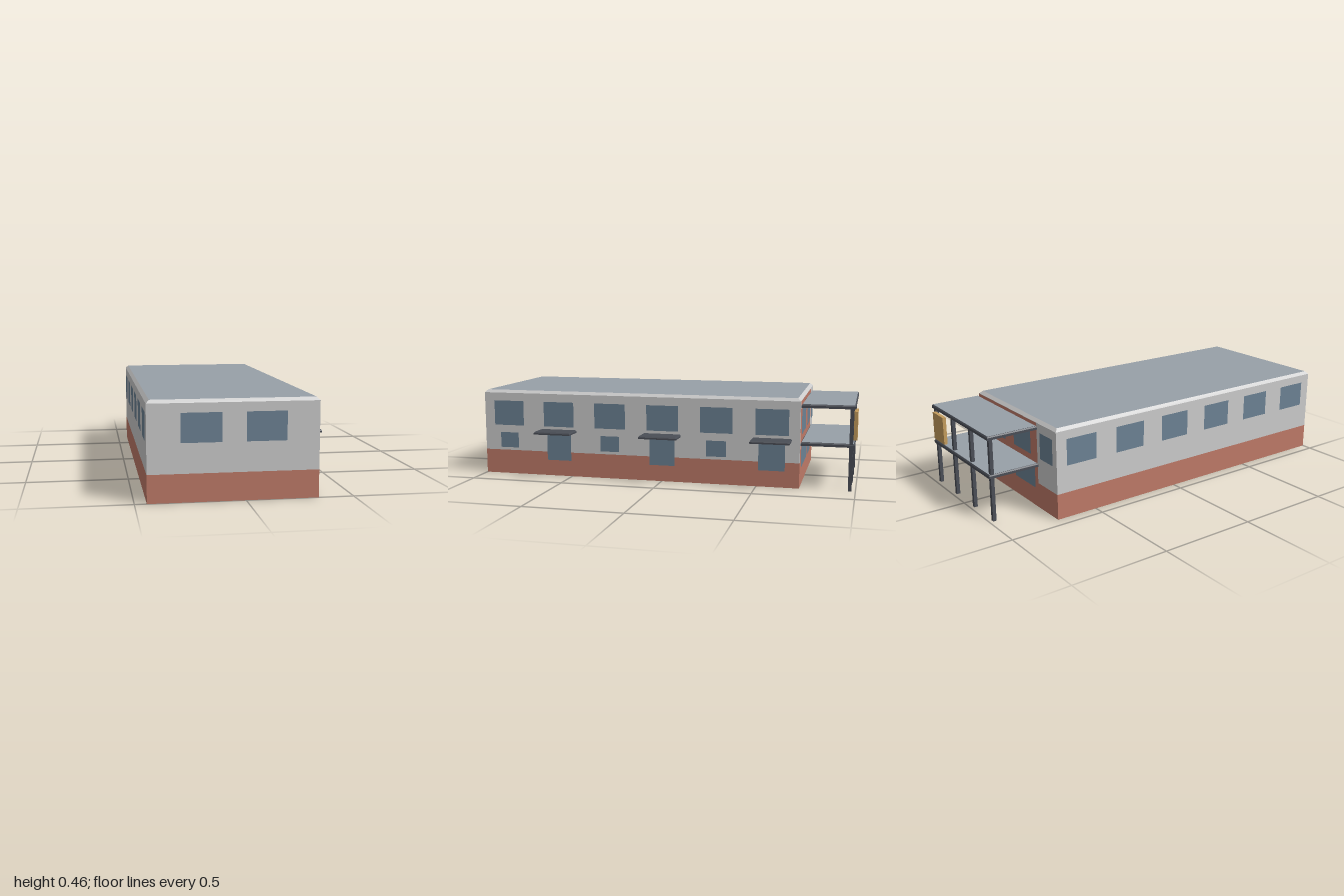
import * as THREE from 'three';

const mat = (color, side = THREE.FrontSide) => new THREE.MeshStandardMaterial({ color, side });
const M = {
  wall: mat(0xcccccc, THREE.DoubleSide),
  brick: mat(0xbe7a68, THREE.DoubleSide),
  glass: mat(0x6c8294),
  roof: mat(0x98a0a8, THREE.DoubleSide),
  dark: mat(0x4a4e56),
  panel: mat(0xc49c5c),
};

// Box whose top is drawn in by `inset`; `open` leaves only the four sides
function taperedBox(w, h, d, inset = 0, open = false) {
  const g = new THREE.BoxGeometry(w, h, d);
  const p = g.attributes.position;
  for (let i = 0; i < p.count; i++) {
    if (p.getY(i) > 0) {
      p.setX(i, p.getX(i) - Math.sign(p.getX(i)) * inset);
      p.setZ(i, p.getZ(i) - Math.sign(p.getZ(i)) * inset);
    }
  }
  if (open) {
    const idx = Array.from(g.index.array);
    g.setIndex([...idx.slice(0, 12), ...idx.slice(24)]);
    g.clearGroups();
  }
  g.computeVertexNormals();
  return g;
}

export function createModel() {
  const model = new THREE.Group();
  model.name = 'building';

  const add = (name, geo, material, x, y, z, rotX = 0, rotY = 0, parent = model) => {
    const m = new THREE.Mesh(geo, material);
    m.name = name;
    m.position.set(x, y, z);
    m.rotation.set(rotX, rotY, 0);
    parent.add(m);
    return m;
  };

  // Main hall extents
  const X0 = -0.445, X1 = 0.335, Z0 = -0.72, Z1 = 1.0;
  const W = X1 - X0, D = Z1 - Z0, CX = (X0 + X1) / 2, CZ = (Z0 + Z1) / 2;
  const baseH = 0.13, eaves = 0.445, top = 0.46, bevel = 0.015;

  // Hollow shell: brick base, plain walls, sloped roof edge, flat roof
  add('brickBase', taperedBox(W, baseH, D, 0, true), M.brick, CX, baseH / 2, CZ);
  add('walls', taperedBox(W, eaves - baseH, D, 0, true), M.wall, CX, (baseH + eaves) / 2, CZ);
  add('roofEdge', taperedBox(W, top - eaves, D, bevel, true), M.wall, CX, (top + eaves) / 2, CZ);
  add('roof', new THREE.PlaneGeometry(W - 2 * bevel, D - 2 * bevel), M.roof, CX, top, CZ, -Math.PI / 2);

  // Flat panes set just proud of each wall: centre along the wall, width, y range
  const gap = 0.002;
  const pane = (name, face, c, w, y0, y1) => {
    const pos = { front: [c, Z1 + gap, 0], back: [c, Z0 - 2 * gap, Math.PI],
      left: [X1 + gap, c, Math.PI / 2], right: [X0 - gap, c, -Math.PI / 2] }[face];
    add(name, new THREE.PlaneGeometry(w, y1 - y0), M.glass, pos[0], (y0 + y1) / 2, pos[1], 0, pos[2]);
  };

  // Front windows
  for (const x of [-0.2025, 0.0925]) pane('frontWindow', 'front', x, 0.185, 0.268, 0.402);

  // Long sides: six upper windows; small windows and doors alternate on one side
  for (let i = 0; i < 6; i++) {
    const z = 0.859 - i * 0.2875;
    pane('upperWindow', 'left', z, 0.17, 0.268, 0.402);
    pane('upperWindow', 'right', z, 0.17, 0.268, 0.402);
    if (i % 2 === 0) {
      pane('smallWindow', 'left', z, 0.104, 0.145, 0.228);
    } else {
      pane('door', 'left', z, 0.136, 0.085, 0.228);
      add('doorCanopy', new THREE.BoxGeometry(0.108, 0.008, 0.2), M.dark, X1 + 0.054, 0.244, z);
      add('doorCanopyTop', taperedBox(0.108, 0.006, 0.2, 0.004), M.dark, X1 + 0.054, 0.251, z);
    }
  }

  // Back wall: brick facing behind the porch with glazing on two floors
  add('brickFacing', new THREE.PlaneGeometry(0.605, eaves - baseH), M.brick,
    0.0325, (eaves + baseH) / 2, Z0 - gap, 0, Math.PI);
  pane('backWindow', 'back', -0.357, 0.115, 0.268, 0.402);
  pane('backUpperWindow', 'back', -0.125, 0.17, 0.268, 0.402);
  pane('backUpperWindow', 'back', 0.17, 0.24, 0.268, 0.402);
  pane('backGlazing', 'back', -0.145, 0.2, 0.1, 0.222);
  pane('backGlazing', 'back', 0.15, 0.3, 0.1, 0.222);

  // Two-level porch on four posts
  const porch = new THREE.Group();
  porch.name = 'porch';
  model.add(porch);
  const px = 0.03, pw = 0.62, pz = -0.857, pd = 0.266;
  for (const [name, y] of [['porchRoof', 0.432], ['porchDeck', 0.24]]) {
    add(name, new THREE.BoxGeometry(pw, 0.012, pd), M.dark, px, y - 0.012, pz, 0, 0, porch);
    add(name + 'Edge', taperedBox(pw, 0.006, pd, 0.004), M.dark, px, y - 0.003, pz, 0, 0, porch);
    add(name + 'Surface', new THREE.PlaneGeometry(pw - 0.01, pd - 0.01), M.roof,
      px, y + 0.001, pz, -Math.PI / 2, 0, porch);
  }
  for (let i = 0; i < 4; i++) {
    add('porchPost', new THREE.BoxGeometry(0.018, 0.42, 0.018), M.dark,
      -0.268 + i * 0.199, 0.21, -0.972, 0, 0, porch);
  }

  // Blank board hung on the outer face of the porch
  add('board', new THREE.BoxGeometry(0.12, 0.145, 0.018), M.panel, 0.252, 0.327, -0.991, 0, 0, porch);

  return model;
}
